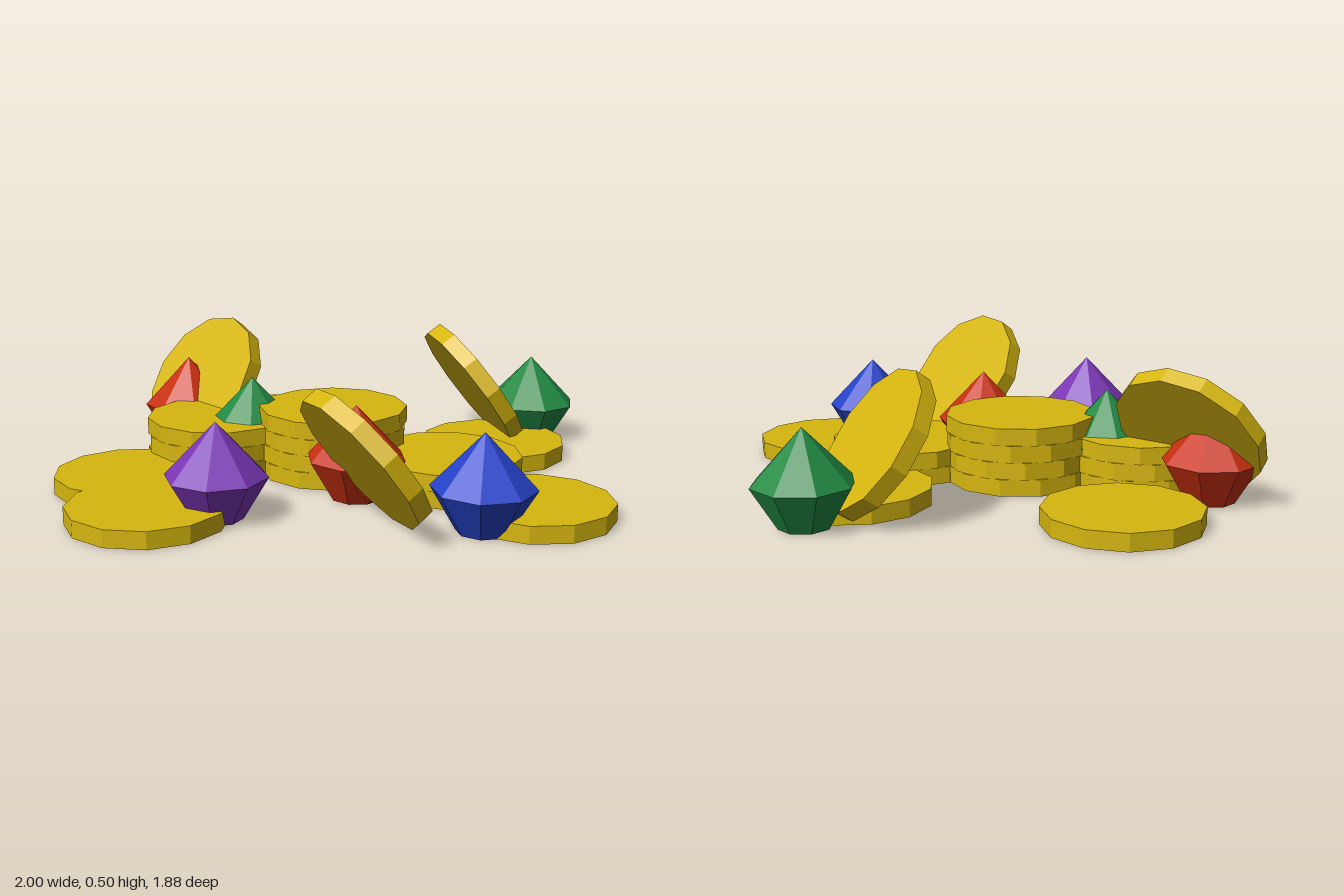
import * as THREE from 'three';

const R = 0.281, T = 0.0625; // coin radius and thickness
const rad = THREE.MathUtils.degToRad;

function material(name, color) {
  const m = new THREE.MeshStandardMaterial({ color });
  m.name = name;
  return m;
}

// separate the faces so every facet is flat
function faceted(geometry) {
  const g = geometry.toNonIndexed();
  g.computeVertexNormals();
  return g;
}

export function createModel() {
  const model = new THREE.Group();
  model.name = 'treasurePile';

  const gold = material('gold', 0xd6b60f);
  const red = material('ruby red', 0xc83011);
  const green = material('emerald green', 0x238a44);
  const blue = material('sapphire blue', 0x2542c8);
  const purple = material('amethyst purple', 0x7b36b5);

  const coinGeometry = faceted(new THREE.CylinderGeometry(R, R, T, 12));
  const gemGeometry = faceted(new THREE.LatheGeometry([
    new THREE.Vector2(0, 0), new THREE.Vector2(0.092, 0),
    new THREE.Vector2(0.181, 0.15), new THREE.Vector2(0, 0.34),
  ], 8));

  // flat coins: x, z, spin in degrees, number of coins in the stack
  const stacks = [
    [-0.24, -0.66, 21, 1], [-0.72, 0.23, 22, 1], [-0.595, 0.59, 10, 1],
    [0.72, 0.485, 21, 1], [0.64, -0.26, 10, 1], [0.43, 0.16, 20, 2],
    [-0.435, -0.12, 15, 3], [0.01, -0.03, 3, 4],
  ];
  for (const [x, z, spin, count] of stacks) {
    const stack = new THREE.Group();
    stack.name = count > 1 ? 'coinStack' : 'looseCoin';
    stack.position.set(x, 0, z);
    for (let i = 0; i < count; i++) {
      const coin = new THREE.Mesh(coinGeometry, gold);
      coin.name = 'coin';
      coin.position.y = T * (i + 0.5);
      coin.rotation.y = rad(spin + 11 * (count - 1 - i));
      stack.add(coin);
    }
    model.add(stack);
  }

  // leaning coins: centre x and z, then the heading its upper face leans toward
  const tilt = 0.95, up = new THREE.Vector3(0, 1, 0);
  const leaning = [
    [0.143, 0.67, 0.87, -0.49], [0.565, -0.42, 0.96, -0.28], [-0.537, -0.42, -0.72, 0.69],
  ];
  for (const [x, z, nx, nz] of leaning) {
    const s = Math.sin(tilt) / Math.hypot(nx, nz);
    const normal = new THREE.Vector3(nx * s, Math.cos(tilt), nz * s);
    const coin = new THREE.Mesh(coinGeometry, gold);
    coin.name = 'leaningCoin';
    coin.position.set(x, 0.25, z);
    coin.quaternion.setFromUnitVectors(up, normal);
    coin.rotateY(rad(10));
    model.add(coin);
  }

  // faceted gems: name, material, x, z, spin in degrees
  const gems = [
    ['amethyst', purple, -0.362, 0.55, -3], ['sapphire', blue, 0.535, 0.64, -8],
    ['emerald', green, 0.81, -0.52, 14], ['emerald', green, -0.305, -0.1, 3],
    ['ruby', red, 0.107, 0.31, 30], ['ruby', red, -0.605, -0.445, 15],
  ];
  for (const [name, mat, x, z, spin] of gems) {
    const gem = new THREE.Mesh(gemGeometry, mat);
    gem.name = name;
    gem.position.set(x, 0, z);
    gem.rotation.y = rad(spin);
    model.add(gem);
  }
  return model;
}
